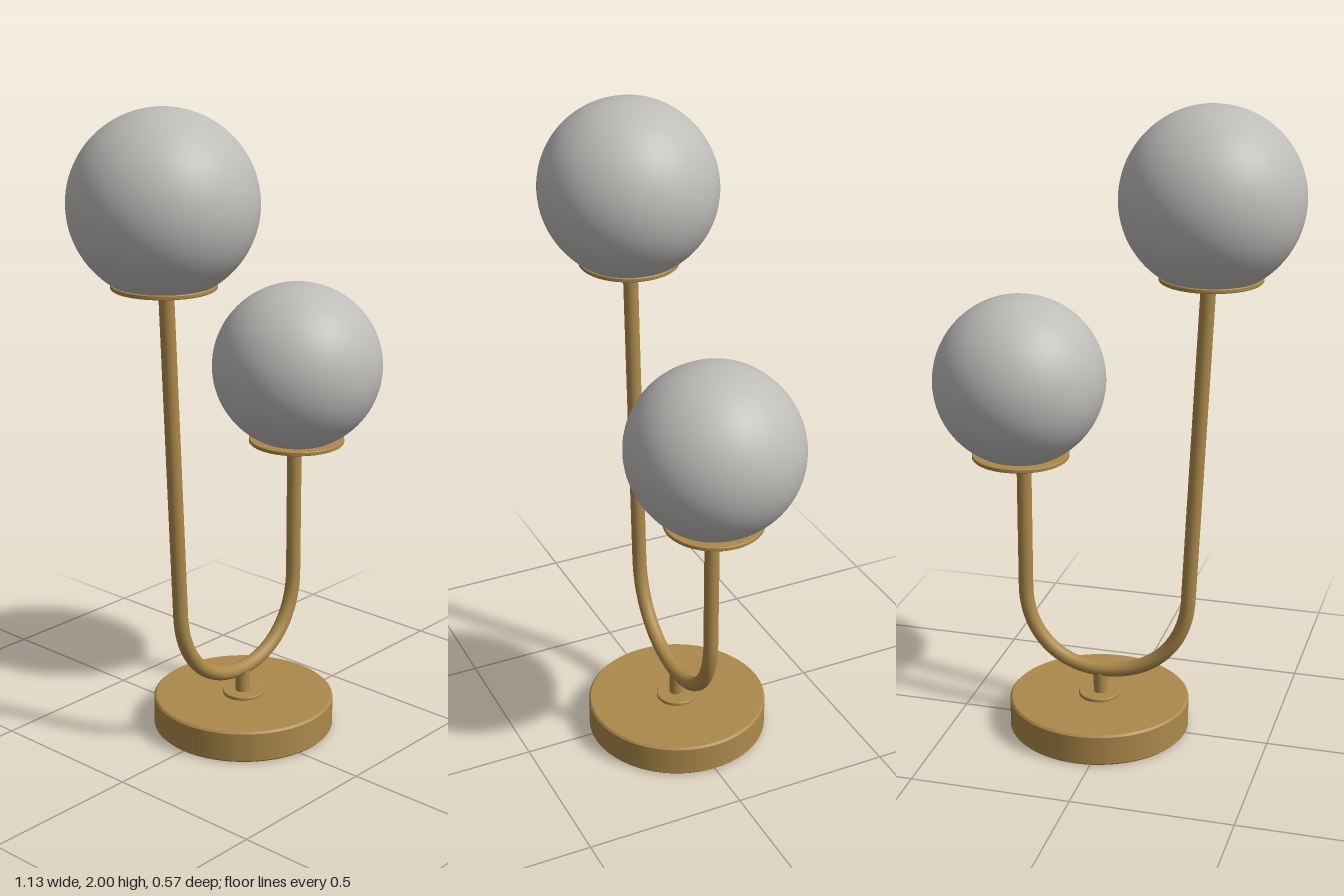
import * as THREE from 'three';

const brass = new THREE.MeshStandardMaterial({ color: 0xac894b });
brass.name = 'brass';
const glass = new THREE.MeshStandardMaterial({ color: 0xbebcb9 });
glass.name = 'frosted glass';

const BASE_X = 0.047;

function add(parent, name, geometry, material, x = 0, y = 0, z = 0) {
  const mesh = new THREE.Mesh(geometry, material);
  mesh.name = name;
  mesh.position.set(x, y, z);
  parent.add(mesh);
  return mesh;
}

// Solid disc with a small bevel on both edges, standing on y = 0
function disc(radius, height, bevel) {
  const rings = [
    [0, 0], [radius - bevel, 0], [radius, bevel],
    [radius, height - bevel], [radius - bevel, height], [0, height],
  ].map(([r, y]) => new THREE.Vector2(r, y));
  // separate bands keep the edges sharp
  const points = [];
  rings.forEach((p, i) => {
    points.push(p);
    const next = rings[i + 1];
    if (next) {
      points.push(p.clone().lerp(next, 0.02), p.clone().lerp(next, 0.98));
    }
  });
  return new THREE.LatheGeometry(points, 64);
}

// Globe cut flat below, its plan very slightly squared
function globe(radius, cut) {
  const geometry = new THREE.SphereGeometry(
    radius, 64, 40, 0, Math.PI * 2, 0, Math.acos(-cut / radius));
  const p = geometry.attributes.position;
  const n = 2.08;
  for (let i = 0; i < p.count; i++) {
    const x = p.getX(i), z = p.getZ(i), r = Math.hypot(x, z);
    if (r < 1e-6) continue;
    const k = r / Math.pow(Math.abs(x) ** n + Math.abs(z) ** n, 1 / n);
    p.setX(i, x * k);
    p.setZ(i, z * k);
  }
  return geometry;
}

function lampHead(name, x, collarY, collarRadius, globeY, globeRadius) {
  const head = new THREE.Group();
  head.name = name;
  add(head, 'collar', disc(collarRadius, 0.013, 0.002), brass, x, collarY);
  add(head, 'globe', globe(globeRadius, globeY - collarY - 0.008), glass, x, globeY);
  return head;
}

export function createModel() {
  const lamp = new THREE.Group();
  lamp.name = 'tableLamp';

  // Round foot, boss and short stem
  add(lamp, 'base', disc(0.285, 0.102, 0.006), brass, BASE_X, 0);
  add(lamp, 'boss', disc(0.065, 0.013, 0.002), brass, BASE_X, 0.1);
  add(lamp, 'stem', new THREE.CylinderGeometry(0.022, 0.022, 0.09, 24), brass, 0.043, 0.145);

  // U-shaped tube: leaning tall arm, bend, upright short arm
  const v = (x, y) => new THREE.Vector3(x, y, 0);
  const path = new THREE.CurvePath();
  path.add(new THREE.LineCurve3(v(-0.288, 1.495), v(-0.24, 0.46)));
  path.add(new THREE.CubicBezierCurve3(v(-0.24, 0.46), v(-0.233, 0.3), v(-0.12, 0.19), v(0.04, 0.19)));
  path.add(new THREE.CubicBezierCurve3(v(0.04, 0.19), v(0.19, 0.19), v(0.288, 0.3), v(0.288, 0.45)));
  path.add(new THREE.LineCurve3(v(0.288, 0.45), v(0.288, 0.89)));
  add(lamp, 'arms', new THREE.TubeGeometry(path, 160, 0.023, 20, false), brass);

  // Globes on their collars
  lamp.add(lampHead('tallHead', -0.295, 1.489, 0.154, 1.729, 0.271));
  lamp.add(lampHead('shortHead', 0.298, 0.885, 0.151, 1.134, 0.264));

  return lamp;
}
